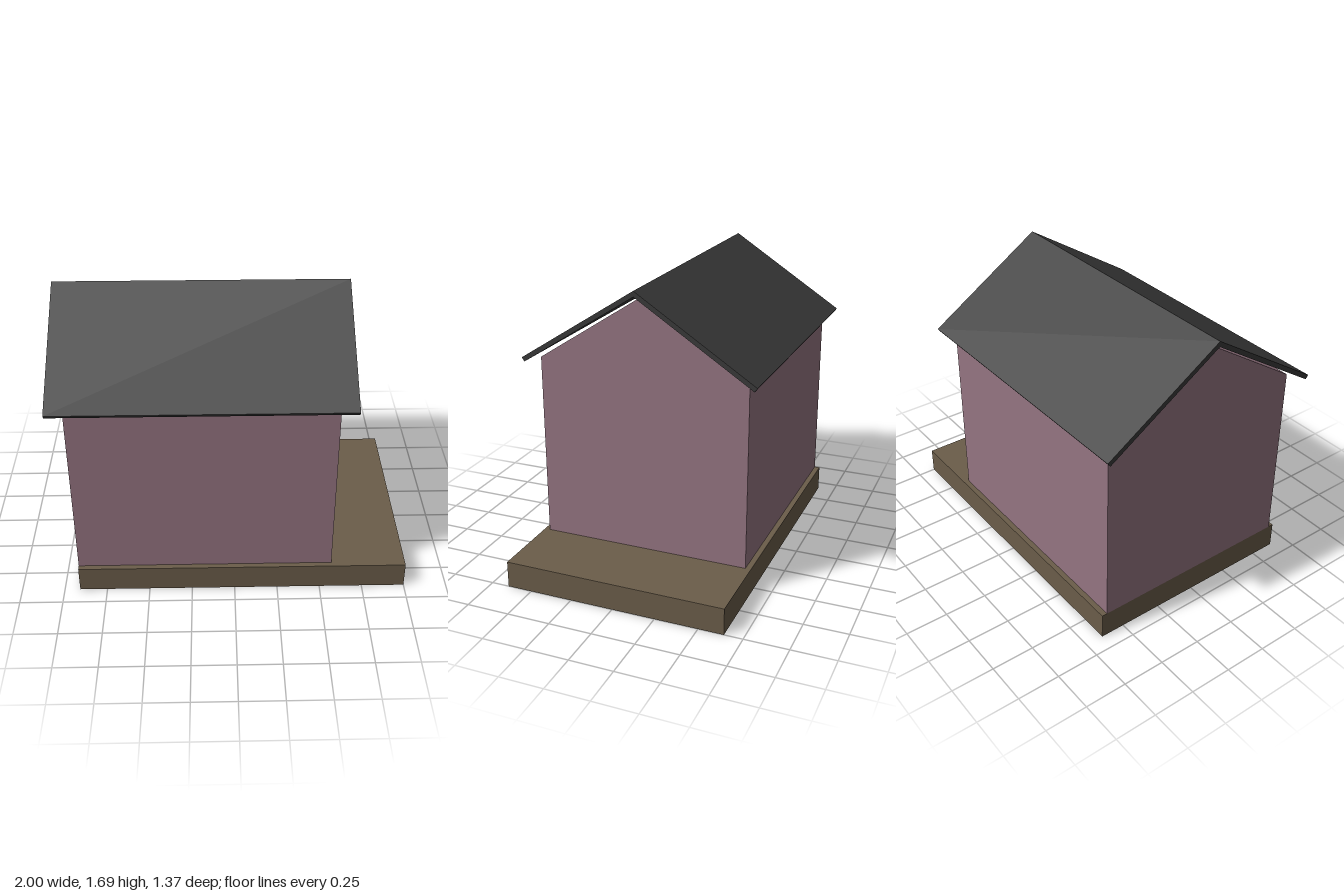
import * as THREE from 'three';

const wallPaint = new THREE.MeshStandardMaterial({ name: 'mauveWall', color: 0x957582 });
const roofPaint = new THREE.MeshStandardMaterial({ name: 'charcoalRoof', color: 0x3a3a3a });
const deckPaint = new THREE.MeshStandardMaterial({ name: 'brownDeck', color: 0x6b5d4a });

// Extrudes a [z, y] outline along x, from x0 to x1
function prism(name, outline, x0, x1, material) {
  const shape = new THREE.Shape(outline.map(([z, y]) => new THREE.Vector2(-z, y)));
  const geometry = new THREE.ExtrudeGeometry(shape, { depth: x1 - x0, bevelEnabled: false });
  geometry.rotateY(Math.PI / 2);
  geometry.translate(x0, 0, 0);
  const mesh = new THREE.Mesh(geometry, material);
  mesh.name = name;
  return mesh;
}

export function createModel() {
  const house = new THREE.Group();
  house.name = 'house';

  // Foundation, running on past the house as a porch
  const foundation = new THREE.Mesh(new THREE.BoxGeometry(1.91, 0.155, 1.29), deckPaint);
  foundation.name = 'foundation';
  foundation.position.set(0.045, 0.0775, 0);
  house.add(foundation);

  // Gabled walls
  house.add(prism('walls', [
    [0.613, 0.155], [0.613, 1.235], [0, 1.635], [-0.613, 1.235], [-0.613, 0.155],
  ], -0.91, 0.567, wallPaint));

  // Two thin roof slabs, mirrored about the ridge and floating just above the walls
  for (const [name, side] of [['frontRoof', 1], ['backRoof', -1]]) {
    house.add(prism(name, [
      [0, 1.69], [0.683 * side, 1.25], [0.667 * side, 1.228], [0, 1.658],
    ], -1, 0.657, roofPaint));
  }

  return house;
}
